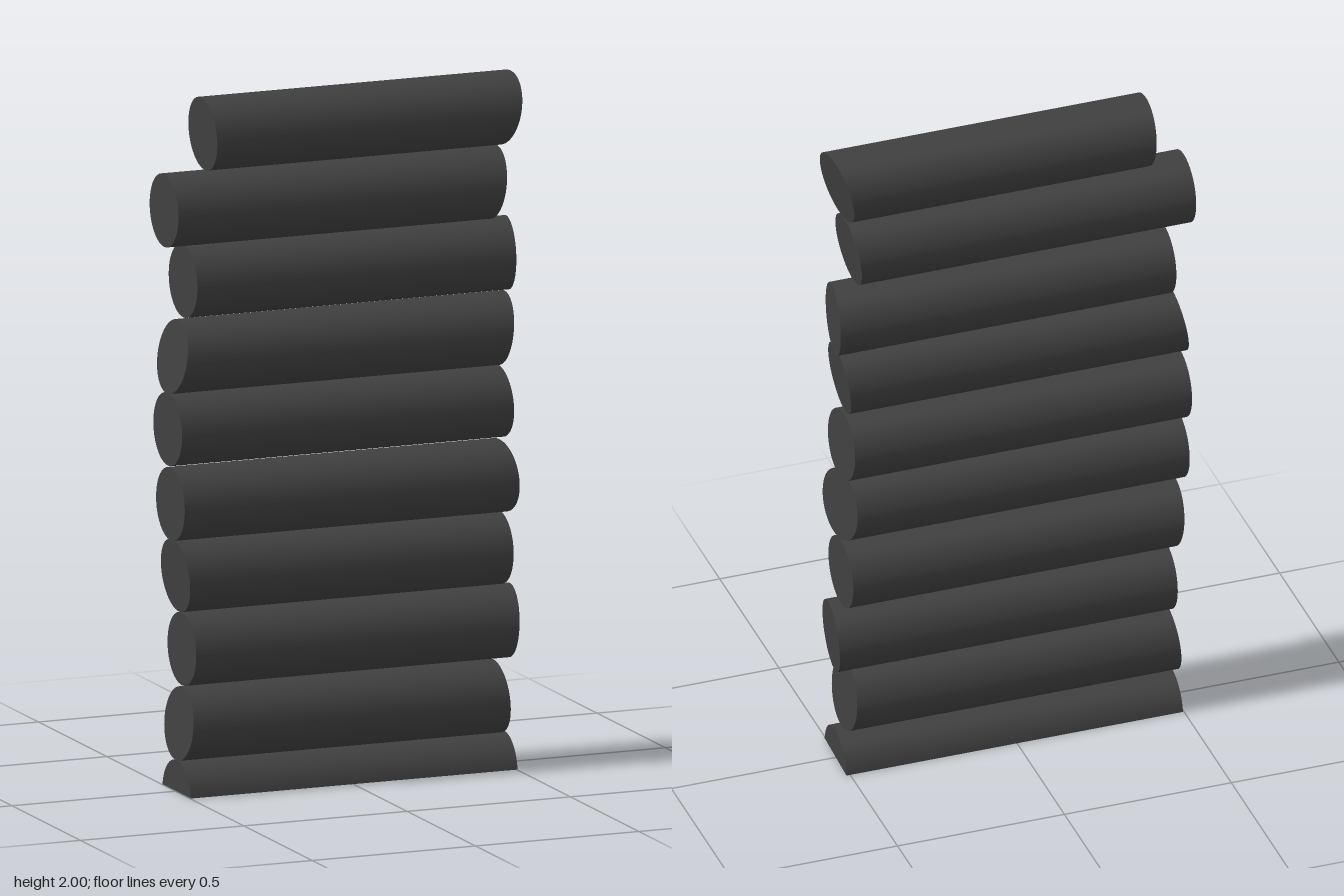
import * as THREE from 'three';

const RADIUS = 0.105;
const SPACING = 0.2122;
const BASE_Y = -0.0148; // the lowest log is sunk into the ground

// Each saw cut is a plane: [x at the log's axis, slope along y, slope along z]
const LOGS = [
  { z: 0.003, left: [0.507, 0, -0.04], right: [-0.497, 0, 0] },
  { z: 0.012, left: [0.477, -0.08, 0], right: [-0.494, 0.09, 0] },
  { z: 0.0, left: [0.521, 0.05, -0.11], right: [-0.48, 0, 0] },
  { z: -0.008, left: [0.495, 0, 0], right: [-0.496, -0.09, 0] },
  { z: 0.012, left: [0.49, -0.07, 0.14], right: [-0.52, 0, 0] },
  { z: -0.008, left: [0.493, -0.05, 0.03], right: [-0.52, 0, 0] },
  { z: 0.008, left: [0.493, 0.12, -0.05], right: [-0.512, 0.17, 0] },
  { z: -0.008, left: [0.518, 0, -0.14], right: [-0.473, 0, 0] },
  { z: 0.008, left: [0.466, 0.13, 0], right: [-0.538, 0, 0] },
  { z: 0.01, left: [0.5, 0.19, 0.1], right: [-0.42, -0.05, 0] },
];

// A round log along x with slanted ends; 'sunk' keeps only the part above y = 0
function logGeometry({ left, right }, centreY, sunk) {
  const start = sunk ? Math.asin(-centreY / RADIUS) : 0;
  const arc = sunk ? Math.PI - 2 * start : Math.PI * 2;
  const geo = new THREE.CylinderGeometry(RADIUS, RADIUS, 1, sunk ? 32 : 56, 1, false, start, arc);
  geo.rotateZ(Math.PI / 2);
  const p = geo.attributes.position;
  for (let i = 0; i < p.count; i++) {
    const [x, slopeY, slopeZ] = p.getX(i) > 0 ? left : right;
    const y = sunk ? Math.max(p.getY(i), -centreY) : p.getY(i);
    p.setXYZ(i, x + slopeY * y + slopeZ * p.getZ(i), y, p.getZ(i));
  }
  geo.computeVertexNormals();
  return geo;
}

export function createModel() {
  const model = new THREE.Group();
  model.name = 'logStack';
  const bark = new THREE.MeshStandardMaterial({ color: 0x404040, side: THREE.DoubleSide });

  LOGS.forEach((spec, i) => {
    const y = BASE_Y + i * SPACING;
    const log = new THREE.Mesh(logGeometry(spec, y, i === 0), bark);
    log.name = i === 0 ? 'sunkenLog' : `log${i}`;
    log.position.set(0, y, spec.z);
    model.add(log);
  });
  return model;
}
